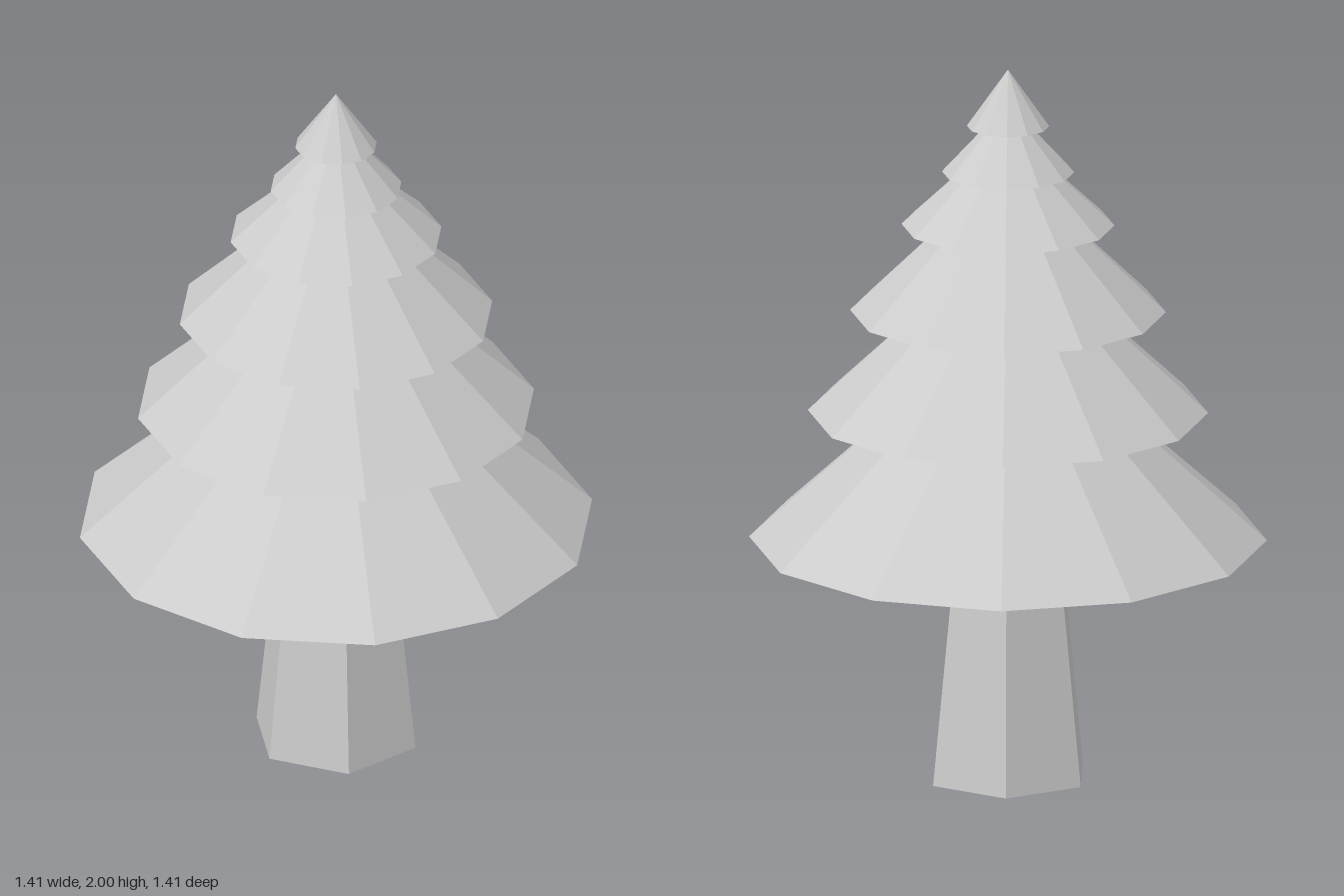
import * as THREE from 'three';

const material = new THREE.MeshStandardMaterial({ color: 0xcccccc, flatShading: true });

// Each tier of branches: [base height, base radius, apex height]
const TIERS = [
  [0.67, 0.705, 1.31],
  [1.03, 0.545, 1.54],
  [1.315, 0.43, 1.73],
  [1.56, 0.29, 1.83],
  [1.71, 0.18, 1.905],
  [1.84, 0.112, 2.0],
];

export function createModel() {
  const tree = new THREE.Group();
  tree.name = 'pineTree';

  // Tapered six-sided trunk with a flat side facing front
  const trunkHeight = 0.68;
  const trunk = new THREE.Mesh(
    new THREE.CylinderGeometry(0.16, 0.232, trunkHeight, 6).rotateY(Math.PI / 6),
    material,
  );
  trunk.name = 'trunk';
  trunk.position.y = trunkHeight / 2;
  tree.add(trunk);

  // Stacked twelve-sided cones of foliage
  TIERS.forEach(([base, radius, apex], i) => {
    const tier = new THREE.Mesh(new THREE.ConeGeometry(radius, apex - base, 12), material);
    tier.name = `foliageTier${i + 1}`;
    tier.position.y = (base + apex) / 2;
    tree.add(tier);
  });

  return tree;
}
